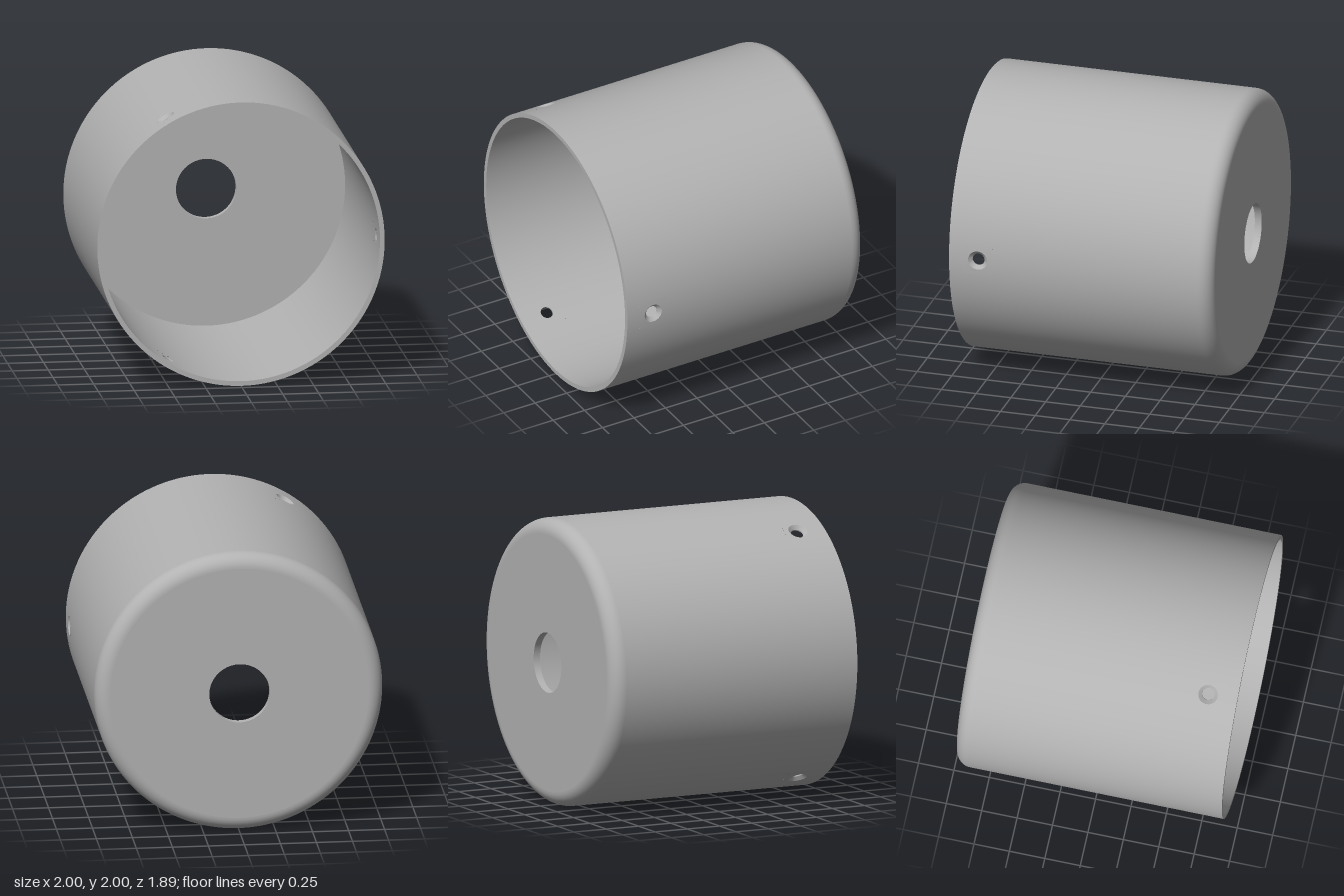
import * as THREE from 'three';
import { toCreasedNormals } from 'three/addons/utils/BufferGeometryUtils.js';

const R = 1, RI = 0.967;            // outer and inner wall radius
const BACK = -0.945, FRONT = 0.945; // ends along z
const FLOOR = BACK + 0.05;          // inside of the back plate
const BORE = 0.21, FILLET = 0.1;
const HOLE_Z = 0.74, HALF = Math.PI / 30; // screw hole position, half size of its patch
const Z0 = HOLE_Z - HALF, Z1 = HOLE_Z + HALF;
const STEP = Math.PI / 60;

// Turned surface around z; angle 0 is +x, profile points are [radius, z]
function turn(profile, start = 0, length = Math.PI * 2) {
  const pts = profile.map(([r, z]) => new THREE.Vector2(r, z));
  const segments = Math.round(length / STEP);
  return new THREE.LatheGeometry(pts, segments, start + Math.PI / 2, length).rotateX(Math.PI / 2);
}

// Wall patch with a countersunk hole, lofted from the inner wall to the outer wall
function holePatch(angle) {
  const N = 32;
  const circle = (c, r) => t => [Math.asin(c * Math.cos(t) / r), c * Math.sin(t), r];
  const square = r => t => {
    const s = HALF / Math.max(Math.abs(Math.cos(t)), Math.abs(Math.sin(t)));
    return [s * Math.cos(t), s * Math.sin(t), r];
  };
  const mid = (f, g) => t => f(t).map((v, i) => (v + g(t)[i]) / 2);
  const inner = circle(0.043, RI), outer = circle(0.068, R);
  const rings = [square(RI), mid(square(RI), inner), inner, circle(0.043, 0.975),
    outer, mid(outer, square(R)), square(R)];
  const pos = [], index = [];
  rings.forEach((ring, i) => {
    for (let j = 0; j < N; j++) {
      const [a, z, r] = ring(j / N * Math.PI * 2);
      pos.push(r * Math.cos(angle + a), r * Math.sin(angle + a), HOLE_Z + z);
      if (i === rings.length - 1) continue;
      const k = (j + 1) % N, p = i * N, q = p + N;
      index.push(p + j, q + j, q + k, p + j, q + k, p + k);
    }
  });
  const geo = new THREE.BufferGeometry();
  geo.setAttribute('position', new THREE.Float32BufferAttribute(pos, 3));
  geo.setIndex(index);
  return toCreasedNormals(geo, 0.4);
}

export function createModel() {
  const model = new THREE.Group();
  model.name = 'cap';
  const body = new THREE.Group();
  body.name = 'body';
  body.position.y = 1;
  model.add(body);
  const grey = new THREE.MeshStandardMaterial({ color: 0xb2b2b2 });
  grey.name = 'grey';
  const add = (name, geo) => {
    const mesh = new THREE.Mesh(geo, grey);
    mesh.name = name;
    body.add(mesh);
  };

  // Back plate with central bore and rounded edge
  const fillet = [];
  for (let i = 0; i <= 12; i++) {
    const a = i / 12 * Math.PI / 2;
    fillet.push([R - FILLET + FILLET * Math.sin(a), BACK + FILLET - FILLET * Math.cos(a)]);
  }
  add('floor', turn([[RI, FLOOR], [BORE, FLOOR]]));
  add('bore', turn([[BORE, FLOOR], [BORE, BACK]]));
  add('backFace', turn([[BORE, BACK], [R - FILLET, BACK]]));
  add('roundedEdge', turn(fillet));

  // Side wall behind and in front of the band of holes, and front rim
  add('outerWall', turn([[R, BACK + FILLET], [R, Z0]]));
  add('innerWall', turn([[RI, Z0], [RI, FLOOR]]));
  add('outerFrontBand', turn([[R, Z1], [R, FRONT]]));
  add('frontRim', turn([[R, FRONT], [RI, FRONT]]));
  add('innerFrontBand', turn([[RI, FRONT], [RI, Z1]]));

  // Three screw holes with the wall between them
  for (let i = 0; i < 3; i++) {
    const angle = i * Math.PI * 2 / 3;
    const span = Math.PI * 2 / 3 - 2 * HALF;
    add('screwHole', holePatch(angle));
    add('outerHoleBand', turn([[R, Z0], [R, Z1]], angle + HALF, span));
    add('innerHoleBand', turn([[RI, Z1], [RI, Z0]], angle + HALF, span));
  }
  return model;
}
